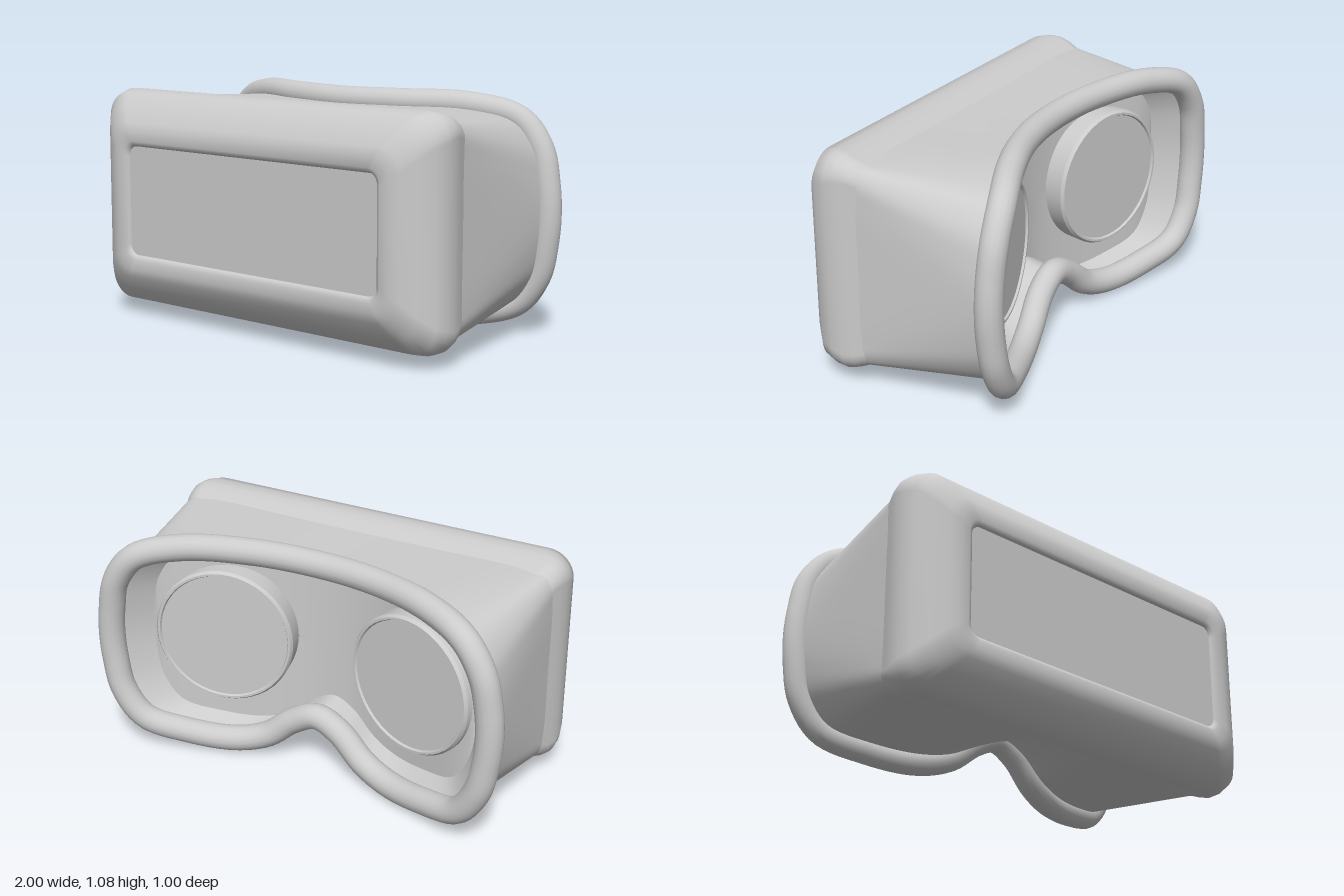
import * as THREE from 'three';
import { toCreasedNormals } from 'three/addons/utils/BufferGeometryUtils.js';

const grey = new THREE.MeshStandardMaterial({ color: 0xcccccc });
const greyThin = new THREE.MeshStandardMaterial({ color: 0xcccccc, side: THREE.DoubleSide });
const MID_Y = 0.55;

function add(parent, name, geometry, material = grey) {
  const mesh = new THREE.Mesh(geometry, material);
  mesh.name = name;
  parent.add(mesh);
  return mesh;
}

// Skin over closed loops that all have the same number of points
function loft(loops) {
  const n = loops[0].length, index = [];
  for (let i = 0; i < loops.length - 1; i++)
    for (let j = 0; j < n; j++) {
      const a = i * n + j, b = i * n + (j + 1) % n;
      index.push(a, b, b + n, a, b + n, a + n);
    }
  const g = new THREE.BufferGeometry().setFromPoints(loops.flat());
  g.setIndex(index);
  g.computeVertexNormals();
  return g;
}

// Counter-clockwise rounded rectangle at depth z
function roundedLoop(hx, hy, r, z, steps = 8) {
  const pts = [];
  [[1, 1], [-1, 1], [-1, -1], [1, -1]].forEach(([sx, sy], c) => {
    for (let i = 0; i <= steps; i++) {
      const a = (c + i / steps) * Math.PI / 2;
      pts.push(new THREE.Vector3(
        sx * (hx - r) + r * Math.cos(a), MID_Y + sy * (hy - r) + r * Math.sin(a), z));
    }
  });
  return pts;
}

// Closed smooth curve from one half, mirrored in x
function mirroredCurve(half) {
  const pts = half.map(p => new THREE.Vector3(...p));
  const other = pts.slice(1, -1).reverse().map(p => new THREE.Vector3(-p.x, p.y, p.z));
  return new THREE.CatmullRomCurve3([...pts, ...other], true);
}

// Copy of a loop, scaled about the middle and moved in depth
const shrink = (loop, sx, sy, dz) => loop.map(p =>
  new THREE.Vector3(p.x * sx, MID_Y + (p.y - MID_Y) * sy, p.z + dz));

export function createModel() {
  const model = new THREE.Group();
  model.name = 'headset';

  // Front shell: half width, half height, corner radius, depth
  const shellRows = [
    [0.92, 0.445, 0.1, 0.14], [0.936, 0.462, 0.08, 0.19], [0.952, 0.48, 0.085, 0.235],
    [0.964, 0.495, 0.1, 0.28], [0.965, 0.5, 0.12, 0.33], [0.95, 0.485, 0.12, 0.39],
    [0.895, 0.425, 0.11, 0.445], [0.835, 0.36, 0.1, 0.485], [0.79, 0.32, 0.08, 0.499],
    [0.745, 0.275, 0.06, 0.497], [0.727, 0.257, 0.05, 0.488], [0.72, 0.25, 0.045, 0.47],
  ];
  add(model, 'frontShell', loft(shellRows.map(r => roundedLoop(...r))));

  // Flat panel set into the front
  const panel = new THREE.ShapeGeometry(new THREE.Shape(roundedLoop(0.722, 0.252, 0.045, 0)));
  add(model, 'frontPanel', panel).position.z = 0.48;

  // Face cushion, from the top centre round to the nose arch
  const rim = mirroredCurve([
    [0, 1.012, -0.2], [0.3, 1.015, -0.235], [0.6, 1.01, -0.335], [0.8, 0.955, -0.418],
    [0.895, 0.83, -0.44], [0.93, 0.68, -0.44], [0.94, 0.55, -0.44], [0.93, 0.42, -0.44],
    [0.895, 0.27, -0.44], [0.8, 0.138, -0.418], [0.61, 0.08, -0.35], [0.4, 0.06, -0.275],
    [0.25, 0.1, -0.23], [0.12, 0.2, -0.205], [0, 0.25, -0.2],
  ]);
  add(model, 'faceCushion', new THREE.TubeGeometry(rim, 180, 0.06, 16, true));

  // Body: blends the squarer shell opening into the cushion
  const opening = mirroredCurve([
    [0, 1.012, 0.23], [0.35, 1.012, 0.23], [0.83, 1.01, 0.23], [0.905, 1.0, 0.23],
    [0.932, 0.96, 0.23], [0.937, 0.87, 0.23], [0.937, 0.55, 0.23], [0.937, 0.22, 0.23],
    [0.932, 0.14, 0.23], [0.905, 0.097, 0.23], [0.8, 0.085, 0.23], [0.45, 0.08, 0.23],
    [0.27, 0.08, 0.23], [0.13, 0.08, 0.23], [0, 0.08, 0.23],
  ]);
  const front = opening.getPoints(168).slice(0, -1);
  const rimLoop = rim.getPoints(168).slice(0, -1);
  const back = shrink(rimLoop, 0.995, 0.965, 0);
  const rows = [];
  for (let i = 0; i <= 8; i++) rows.push(front.map((p, j) => p.clone().lerp(back[j], i / 8)));
  add(model, 'body', loft(rows), greyThin);

  // Tapered inner wall and curved lens plate behind the cushion
  const edge = shrink(rimLoop, 0.87, 0.9, 0.16);
  add(model, 'innerWall', loft([rimLoop, edge]), greyThin);
  add(model, 'lensPlate', loft([edge, shrink(edge, 1, 0, 0)]), greyThin);

  // Eyepieces, turned in towards the face: a raised ring with a slightly sunken lens
  const profile = [[0.325, -0.04], [0.325, 0.085], [0.315, 0.1], [0.305, 0.1], [0.3, 0.09], [0, 0.09]]
    .map(p => new THREE.Vector2(...p));
  const eyepiece = toCreasedNormals(new THREE.LatheGeometry(profile, 48), 0.5);
  eyepiece.rotateX(-Math.PI / 2);
  for (const [name, side] of [['leftEyepiece', 1], ['rightEyepiece', -1]]) {
    const mesh = add(model, name, eyepiece, greyThin);
    mesh.position.set(side * 0.49, 0.555, -0.145);
    mesh.rotation.y = side * 0.25;
  }

  return model;
}
